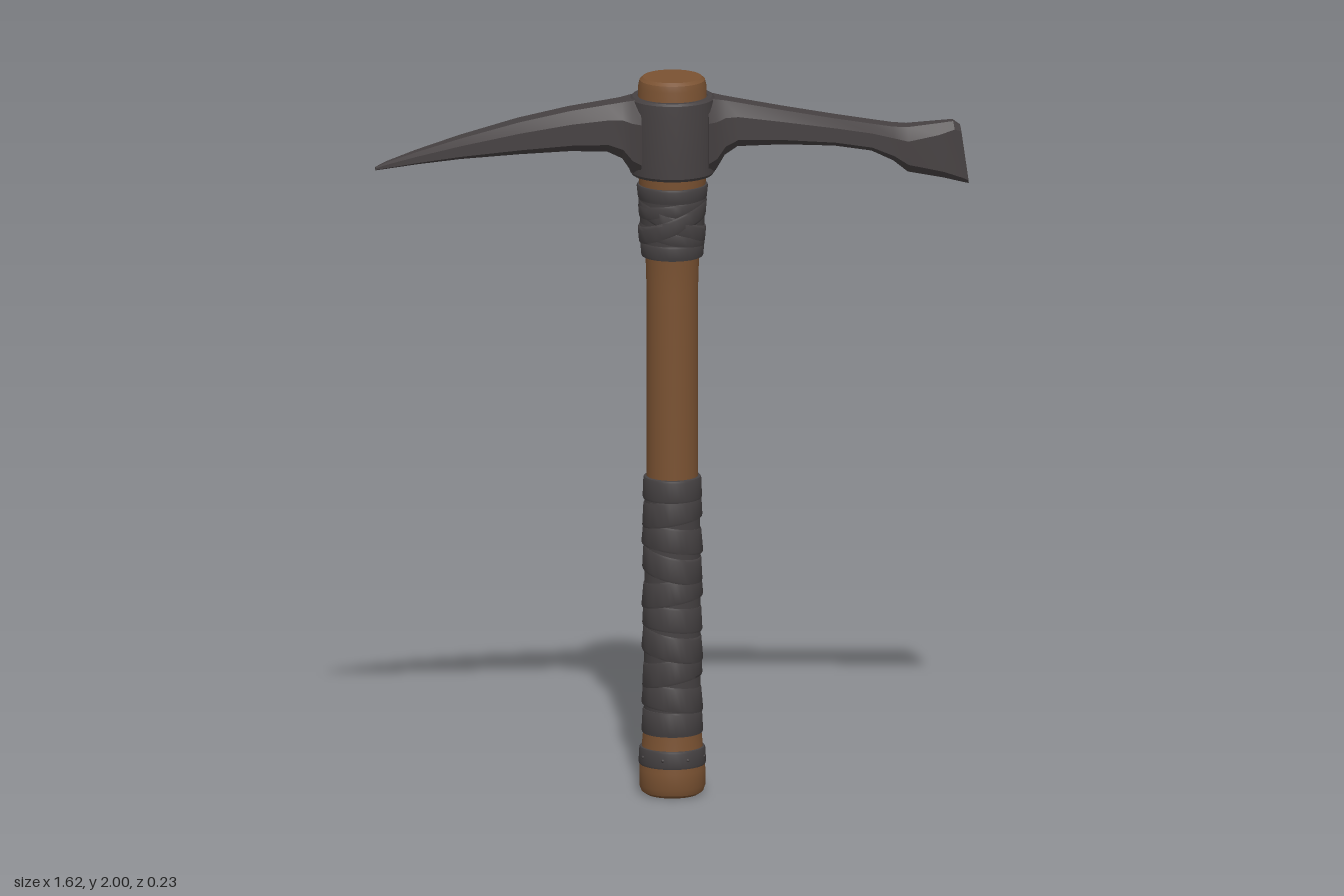
import * as THREE from 'three';
import { toCreasedNormals } from 'three/addons/utils/BufferGeometryUtils.js';

const mat = (name, color) => {
  const m = new THREE.MeshStandardMaterial({ color });
  m.name = name;
  return m;
};

// Revolved part from [radius, y] pairs, listed bottom to top
function lathe(points, crease = 0.6, segments = 32) {
  const g = new THREE.LatheGeometry(points.map(([r, y]) => new THREE.Vector2(r, y)), segments);
  return toCreasedNormals(g, crease);
}

// Chamfered eight-sided section; xTop and xBottom let it lean
function section([xTop, xBottom, top, bottom, w]) {
  const h = top - bottom;
  const c = Math.min(h * 0.28, w * 0.8);
  const flat = w * 0.5;
  return [
    [top, -flat], [top, flat], [top - c, w], [bottom + c * 0.7, w],
    [bottom, flat], [bottom, -flat], [bottom + c * 0.7, -w], [top - c, -w],
  ].map(([y, z]) => [THREE.MathUtils.lerp(xBottom, xTop, (y - bottom) / h), y, z]);
}

// Skin over sections ordered by rising x, closed at both ends
function loft(stations) {
  const loops = stations.map(section);
  const n = loops[0].length;
  const pos = loops.flat(2);
  const index = [];
  for (let i = 0; i < loops.length - 1; i++) {
    for (let j = 0; j < n; j++) {
      const a = i * n + j, b = i * n + (j + 1) % n;
      index.push(a, b, b + n, a, b + n, a + n);
    }
  }
  const last = (loops.length - 1) * n;
  for (let j = 1; j < n - 1; j++) {
    index.push(0, j + 1, j, last, last + j, last + j + 1);
  }
  const g = new THREE.BufferGeometry();
  g.setAttribute('position', new THREE.Float32BufferAttribute(pos, 3));
  g.setIndex(index);
  return toCreasedNormals(g, 0.45);
}

// One turn of wrapping: a shallow ring, sheared so it runs at a slant
function strap(y, height, r0, r1, slope = 0, turn = 0) {
  const h = height / 2;
  const g = lathe([
    [r0 - 0.012, -h], [r0 - 0.002, -h + 0.002], [r0, -h + 0.008],
    [r1, h - 0.008], [r1 - 0.002, h - 0.002], [r1 - 0.012, h],
  ], 0.9);
  const p = g.attributes.position;
  for (let i = 0; i < p.count; i++) {
    const along = p.getX(i) * Math.cos(turn) + p.getZ(i) * Math.sin(turn);
    p.setY(i, p.getY(i) + y + slope * along);
  }
  return toCreasedNormals(g, 0.9);
}

export function createModel() {
  const model = new THREE.Group();
  model.name = 'pickaxe';
  const wood = mat('brown wood', 0x7a5232);
  const metal = mat('dark metal', 0x464142);
  const leather = mat('dark leather', 0x454142);

  const add = (parent, name, geometry, material) => {
    const m = new THREE.Mesh(geometry, material);
    m.name = name;
    parent.add(m);
  };

  // Handle, swelling at the butt and towards the head
  add(model, 'handle', lathe([
    [0, 0], [0.072, 0], [0.084, 0.008], [0.09, 0.025], [0.09, 0.07], [0.085, 0.11],
    [0.08, 0.17], [0.072, 0.3], [0.07, 0.6], [0.07, 1.4], [0.073, 1.5], [0.083, 1.62],
    [0.091, 1.7], [0.093, 1.76], [0.093, 1.975], [0.089, 1.992], [0.08, 2], [0, 2],
  ]), wood);

  // Metal head
  const head = new THREE.Group();
  head.name = 'head';
  model.add(head);

  add(head, 'collar', lathe([
    [0.09, 1.73], [0.11, 1.73], [0.116, 1.738], [0.117, 1.78], [0.117, 1.9],
    [0.115, 1.942], [0.109, 1.948], [0.096, 1.948], [0.09, 1.94], [0.09, 1.73],
  ]), metal);

  // Each station: x at top, x at bottom, top, bottom, half width
  add(head, 'pickArm', loft([
    [-0.81, -0.81, 1.766, 1.757, 0.005],
    [-0.78, -0.78, 1.78, 1.762, 0.014],
    [-0.7, -0.7, 1.808, 1.774, 0.028],
    [-0.58, -0.58, 1.845, 1.788, 0.043],
    [-0.42, -0.42, 1.888, 1.799, 0.055],
    [-0.28, -0.28, 1.917, 1.805, 0.059],
    [-0.18, -0.18, 1.932, 1.801, 0.06],
    [-0.14, -0.14, 1.938, 1.782, 0.062],
    [-0.115, -0.115, 1.943, 1.745, 0.074],
    [-0.092, -0.092, 1.946, 1.732, 0.088],
  ]), metal);

  add(head, 'adzeArm', loft([
    [0.092, 0.092, 1.946, 1.732, 0.088],
    [0.115, 0.115, 1.942, 1.745, 0.074],
    [0.14, 0.14, 1.937, 1.785, 0.061],
    [0.175, 0.175, 1.93, 1.808, 0.058],
    [0.3, 0.3, 1.905, 1.81, 0.057],
    [0.44, 0.44, 1.879, 1.803, 0.057],
    [0.54, 0.54, 1.862, 1.787, 0.057],
    [0.6, 0.6, 1.852, 1.758, 0.056],
    [0.64, 0.64, 1.849, 1.725, 0.05],
    [0.72, 0.74, 1.856, 1.704, 0.036],
    [0.765, 0.79, 1.86, 1.69, 0.026],
    [0.785, 0.808, 1.846, 1.685, 0.018],
  ]), metal);

  // Long grip: a sleeve covered by slanted turns
  const grip = new THREE.Group();
  grip.name = 'gripWrap';
  model.add(grip);
  add(grip, 'gripSleeve', lathe([[0.06, 0.18], [0.077, 0.18], [0.076, 0.885], [0.06, 0.885]]), leather);
  add(grip, 'gripEndStrap', strap(0.205, 0.07, 0.084, 0.081), leather);
  add(grip, 'gripTopStrap', strap(0.855, 0.065, 0.081, 0.079), leather);
  const slants = [-0.12, 0.22, -0.2, -0.1, 0.2, -0.24, -0.15, 0.18];
  slants.forEach((slope, i) => {
    add(grip, 'gripStrap', strap(0.275 + i * 0.074, 0.072, 0.084 - (i % 2) * 0.002, 0.079, slope, (i % 3) * 0.25), leather);
  });

  // Binding below the head, with straps crossing over
  const binding = new THREE.Group();
  binding.name = 'headBinding';
  model.add(binding);
  add(binding, 'bindingSleeve', lathe([[0.06, 1.503], [0.083, 1.503], [0.092, 1.69], [0.06, 1.69]]), leather);
  add(binding, 'bindingTopStrap', strap(1.682, 0.044, 0.094, 0.097), leather);
  add(binding, 'bindingLowStrap', strap(1.522, 0.044, 0.085, 0.087), leather);
  [-0.42, 0.42].forEach((slope, i) => {
    add(binding, 'bindingCrossStrap', strap(1.6, 0.05, 0.089 + i * 0.002, 0.092 + i * 0.002, slope), leather);
  });
  add(binding, 'bindingSlantStrap', strap(1.562, 0.04, 0.087, 0.089, -0.2), leather);
  add(binding, 'bindingSlantStrap', strap(1.642, 0.04, 0.091, 0.093, 0.15), leather);

  // Narrow band near the butt with small studs
  add(model, 'buttBand', strap(0.108, 0.052, 0.092, 0.09), leather);
  for (let i = 0; i < 8; i++) {
    const a = (i + 0.5) * Math.PI / 4;
    const g = new THREE.SphereGeometry(0.005, 8, 6);
    g.translate(Math.sin(a) * 0.089, 0.108, Math.cos(a) * 0.089);
    add(model, 'buttBandStud', g, metal);
  }
  return model;
}
